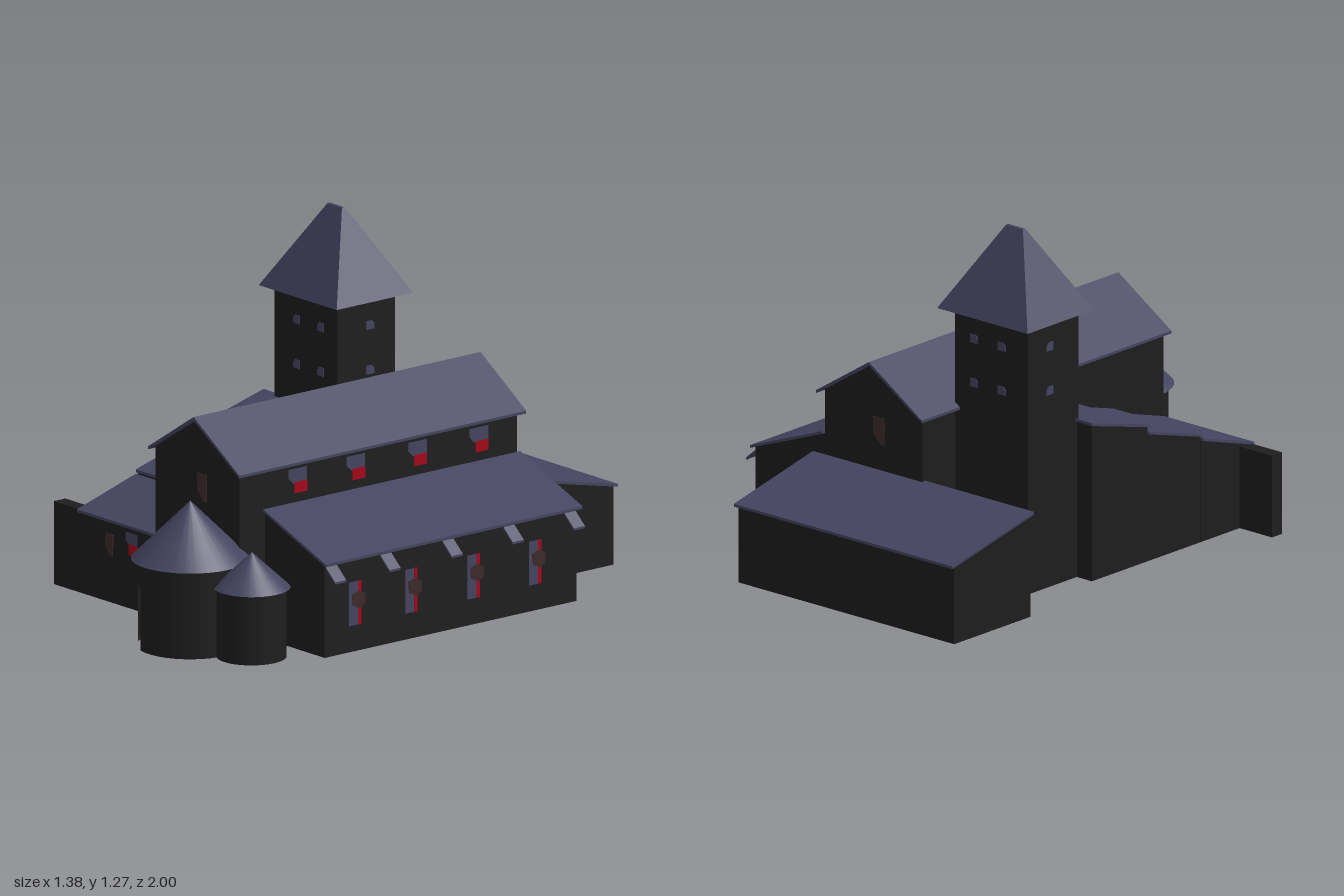
import * as THREE from 'three';

const mat = (name, color) => {
  const m = new THREE.MeshStandardMaterial({ color, side: THREE.DoubleSide });
  m.name = name;
  return m;
};

export function createModel() {
  const model = new THREE.Group();
  model.name = 'church';
  const wall = mat('dark wall', 0x1e1e1e);
  const slate = mat('slate blue', 0x444460);
  const red = mat('red glass', 0xa6061c);
  const brown = mat('brown glass', 0x3e2a2a);

  const add = (name, geo, m) => {
    const mesh = new THREE.Mesh(geo, m);
    mesh.name = name;
    model.add(mesh);
    return mesh;
  };
  const extrude = (pts, depth) => new THREE.ExtrudeGeometry(
    new THREE.Shape(pts.map(p => new THREE.Vector2(...p))), { depth, bevelEnabled: false });
  // Keep upright faces only, leaving walls without floor or ceiling
  const shell = geo => {
    const { position, normal } = geo.attributes;
    const pos = [];
    for (let i = 0; i < position.count; i++)
      if (Math.abs(normal.getY(i)) < 0.01) pos.push(position.getX(i), position.getY(i), position.getZ(i));
    const out = new THREE.BufferGeometry();
    out.setAttribute('position', new THREE.Float32BufferAttribute(pos, 3));
    out.computeVertexNormals();
    return out;
  };
  // Outline in x,y pushed along z
  const geoZ = (pts, z0, z1) => extrude(pts, z1 - z0).translate(0, 0, z0);
  // Outline in z,y pushed along x
  const geoX = (pts, x0, x1) => extrude(pts, x1 - x0).rotateY(-Math.PI / 2).translate(x1, 0, 0);
  const prismZ = (name, m, ...outline) => add(name, geoZ(...outline), m);
  const prismX = (name, m, ...outline) => add(name, geoX(...outline), m);
  const wallsZ = (name, ...outline) => add(name, shell(geoZ(...outline)), wall);
  const wallsX = (name, ...outline) => add(name, shell(geoX(...outline)), wall);
  const rect = (a, b, y0, y1) => [[a, y0], [b, y0], [b, y1], [a, y1]];
  // Sloping sheet between two points of its upper surface
  const sheet = (a, ya, b, yb, t = 0.01) => [[a, ya - t], [b, yb - t], [b, yb], [a, ya]];

  // Nave
  wallsZ('naveWalls', [[-0.135, 0], [0.315, 0], [0.315, 0.618], [0.09, 0.761], [-0.135, 0.618]], -0.59, 0.66);
  prismZ('naveRoof', slate,
    [[-0.155, 0.602], [0.09, 0.757], [0.335, 0.602], [0.335, 0.612], [0.09, 0.77], [-0.155, 0.612]], -0.615, 0.678);

  // Right aisle with tilted brackets
  wallsZ('aisleWalls', [[0.315, 0], [0.635, 0], [0.635, 0.337], [0.315, 0.459]], -0.59, 0.545);
  prismZ('aisleRoof', slate, sheet(0.315, 0.465, 0.648, 0.339), -0.605, 0.553);
  for (const z of [-0.56, -0.285, -0.01, 0.27, 0.515])
    prismZ('bracket', slate, sheet(0.63, 0.328, 0.685, 0.28, 0.008), z - 0.025, z + 0.025);

  // Rear annex, its front wall lower than the raised roof edge
  const left = -0.635, right = 0.362;
  wallsX('annexBackAndSides', [[-0.985, 0], [-0.589, 0], [-0.589, 0.295], [-0.985, 0.284]], left, right);
  for (const x of [left, right - 0.002])
    prismX('annexGable', wall, [[-0.985, 0.283], [-0.589, 0.294], [-0.589, 0.372]], x, x + 0.002);
  prismX('annexRoof', slate, sheet(-1, 0.288, -0.577, 0.38), -0.64, 0.37);

  // Left wing: three sheds stepping down to the front
  const steps = [[-0.175, 0.125, 0.58, 0.5], [0.12, 0.4, 0.475, 0.395], [0.4, 0.665, 0.38, 0.3]];
  steps.forEach(([z0, z1, y0, y1], i) => {
    const a = i === 0 ? z0 + 0.01 : z0;
    const b = i === 2 ? 0.65 : z1 - 0.002;
    wallsX('wingWalls', [[a, 0], [b, 0], [b, y1 - 0.005], [a, y0 - 0.006]], -0.54, -0.132);
    prismX('wingRoof', slate, sheet(z0, y0, z1, y1), -0.55, -0.132);
  });
  prismX('wingFrontWall', wall, rect(0.6, 0.652, 0, 0.297), -0.69, -0.132);

  // Square tower with hipped roof
  wallsX('towerWalls', rect(-0.418, -0.157, 0, 0.975), -0.47, -0.133);
  const hip = new THREE.BoxGeometry(0.418, 0.3, 0.345);
  const p = hip.attributes.position;
  for (let i = 0; i < p.count; i++)
    if (p.getY(i) > 0) p.setXYZ(i, Math.sign(p.getX(i)) * 0.039, p.getY(i), Math.sign(p.getZ(i)) * 0.006);
  hip.computeVertexNormals();
  add('towerRoof', hip.translate(-0.301, 1.12, -0.2925), slate);
  // Tower windows, with one upper corner cut away
  const pane = (c, y) => [[c - 0.018, y - 0.015], [c + 0.018, y - 0.015], [c + 0.018, y + 0.016],
    [c - 0.007, y + 0.016], [c - 0.018, y + 0.004]];
  for (const y of [0.875, 0.715]) {
    for (const x of [-0.35, -0.222]) {
      prismZ('towerWindow', slate, pane(x, y), -0.158, -0.155);
      prismZ('towerWindow', slate, pane(x, y), -0.42, -0.417);
    }
    prismX('towerWindow', slate, pane(-0.305, y), -0.134, -0.131);
    prismX('towerWindow', slate, pane(-0.305, y), -0.472, -0.469);
  }

  // Round towers with conical roofs
  const drum = (r, y0, y1, x, z, start = 0, len = Math.PI * 2) =>
    add('roundTowerWall', new THREE.CylinderGeometry(r, r, y1 - y0, 32, 1, true, start, len)
      .translate(x, (y0 + y1) / 2, z), wall);
  const cone = (r, y0, y1, x, z) =>
    add('roundTowerRoof', new THREE.ConeGeometry(r, y1 - y0, 32, 1, true).translate(x, (y0 + y1) / 2, z), slate);
  // The large one has a doorway on its front left
  drum(0.186, 0, 0.225, 0.208, 0.792, -0.3, Math.PI * 2 - 0.66);
  drum(0.186, 0.225, 0.32, 0.208, 0.792);
  cone(0.205, 0.312, 0.517, 0.208, 0.792);
  drum(0.122, 0, 0.252, 0.453, 0.722);
  cone(0.133, 0.247, 0.372, 0.453, 0.72);

  // Aisle windows
  for (const z of [0.412, 0.158, -0.122, -0.4]) {
    prismX('aisleWindow', slate, rect(z - 0.025, z + 0.025, 0.093, 0.25), 0.634, 0.636);
    prismX('aisleWindowRed', red, rect(z - 0.03, z - 0.015, 0.093, 0.25), 0.634, 0.637);
    prismX('aisleWindowBrown', brown,
      [[z - 0.025, 0.15], [z + 0.008, 0.165], [z + 0.012, 0.205], [z - 0.02, 0.215], [z - 0.048, 0.2], [z - 0.048, 0.165]],
      0.634, 0.638);
  }
  // Clerestory windows
  for (const z of [0.398, 0.137, -0.142, -0.418]) {
    prismX('clerestoryWindow', slate,
      [[z - 0.042, 0.532], [z + 0.02, 0.532], [z + 0.042, 0.555], [z + 0.042, 0.585], [z - 0.042, 0.585]], 0.314, 0.316);
    prismX('clerestoryWindowRed', red, rect(z - 0.042, z + 0.015, 0.497, 0.537), 0.314, 0.317);
  }
  // Gable windows, front and mirrored at the back
  const gable = [[0.11, 0.485], [0.125, 0.47], [0.14, 0.472], [0.142, 0.53], [0.137, 0.568], [0.088, 0.568], [0.09, 0.51]];
  prismZ('gableWindow', brown, gable, 0.659, 0.662);
  prismZ('gableWindow', brown, gable.map(([x, y]) => [0.18 - x, y]), -0.592, -0.589);
  // Wing front windows
  prismZ('wingWindowBrown', brown,
    [[-0.395, 0.175], [-0.372, 0.163], [-0.37, 0.243], [-0.41, 0.245], [-0.412, 0.2]], 0.651, 0.655);
  prismZ('wingWindow', slate, [[-0.285, 0.226], [-0.24, 0.226], [-0.24, 0.27], [-0.304, 0.27], [-0.304, 0.24]], 0.651, 0.654);
  prismZ('wingWindowRed', red, rect(-0.285, -0.24, 0.19, 0.23), 0.651, 0.655);

  return model;
}
